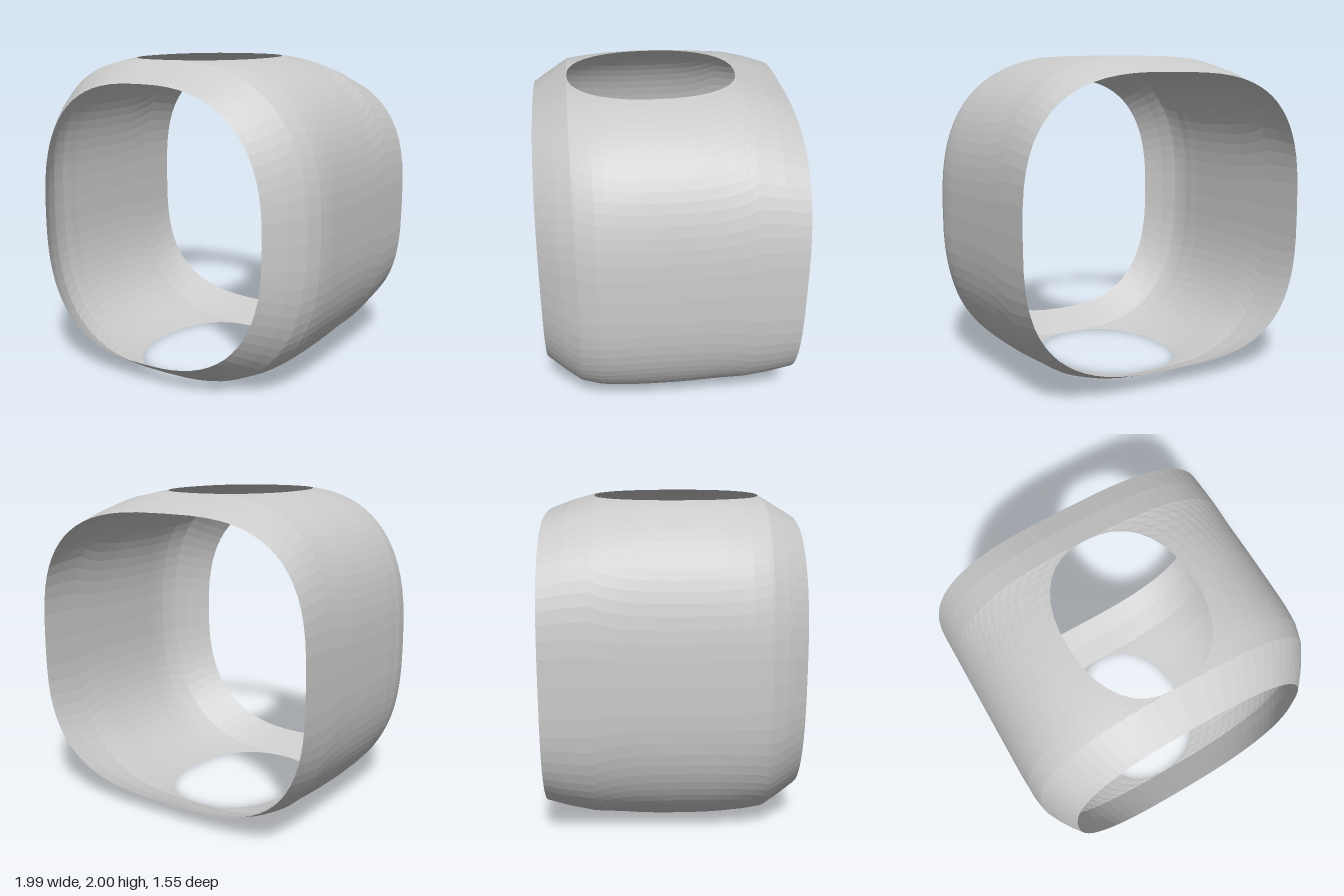
import * as THREE from 'three';

const END = 0.775;                                   // half depth of the shell
const HOLE = { z: 0.043, length: 0.52, width: 0.41, n: 2.3 };

// Piecewise linear lookup in [position, value] pairs
function lookup(keys, z) {
  for (let i = 1; i < keys.length; i++) {
    const [z0, v0] = keys[i - 1], [z1, v1] = keys[i];
    if (z <= z1) return v0 + (v1 - v0) * Math.max(0, (z - z0) / (z1 - z0));
  }
  return keys[keys.length - 1][1];
}

const halfWidth = [[-END, 0.995], [0.3, 0.993], [0.45, 0.985], [0.55, 0.96], [0.65, 0.905], [0.71, 0.863], [END, 0.81]];
const halfHeight = [[-END, 0.9], [-0.63, 0.956], [HOLE.z - HOLE.length, 1], [HOLE.z + HOLE.length, 1], [END, 0.87]];
const squareness = [[-END, 3], [-0.3, 2.75], [0.4, 2.75], [END, 2.6]];
const sideShift = [[-END, -0.003], [0.4, -0.005], [END, -0.03]];

// Depth stations: back rim, the length of the top and bottom holes, front rim
function stations() {
  const list = [-END, -0.7, -0.63, -0.55];
  const steps = 18;
  for (let i = 0; i <= steps; i++) list.push(HOLE.z - HOLE.length * Math.cos(Math.PI * i / steps));
  return list.concat([0.61, 0.65, 0.69, 0.735, END]);
}

// One half of the rounded-square tube; each section stops at the hole edge or at the middle
function halfShell(side) {
  const rows = stations(), segments = 36, points = [], index = [];
  rows.forEach((z, i) => {
    const a = lookup(halfWidth, z), n = lookup(squareness, z), shift = lookup(sideShift, z);
    const d = Math.min(1, Math.abs(z - HOLE.z) / HOLE.length);
    const w = HOLE.width * Math.pow(1 - Math.pow(d, HOLE.n), 1 / HOLE.n);
    const open = w > 1e-4;
    const b = open ? Math.pow(1 - Math.pow(w / a, n), -1 / n) : lookup(halfHeight, z);
    const limit = open ? Math.asin(Math.min(1, Math.pow(b, -n / 2))) : Math.PI / 2;
    for (let j = 0; j <= segments; j++) {
      const t = limit * (2 * j / segments - 1);
      const u = Math.pow(Math.max(0, Math.cos(t)), 2 / n);
      const v = Math.sign(t) * Math.pow(Math.abs(Math.sin(t)), 2 / n);
      points.push(side * a * u + shift - 0.03 * (1 - u * u), 1 + b * v, z);
      if (i < rows.length - 1 && j < segments) {
        const p = i * (segments + 1) + j, q = p + segments + 1;
        if (side > 0) index.push(p, p + 1, q, p + 1, q + 1, q);
        else index.push(p, q, p + 1, p + 1, q, q + 1);
      }
    }
  });
  const geometry = new THREE.BufferGeometry();
  geometry.setAttribute('position', new THREE.Float32BufferAttribute(points, 3));
  geometry.setIndex(index);
  geometry.computeVertexNormals();
  return geometry;
}

export function createModel() {
  const model = new THREE.Group();
  model.name = 'openShell';
  const material = new THREE.MeshStandardMaterial({ color: 0xcccccc, side: THREE.DoubleSide, flatShading: true });
  // Left and right halves meet above and below the openings
  for (const [name, side] of [['leftHalf', 1], ['rightHalf', -1]]) {
    const mesh = new THREE.Mesh(halfShell(side), material);
    mesh.name = name;
    model.add(mesh);
  }
  return model;
}
